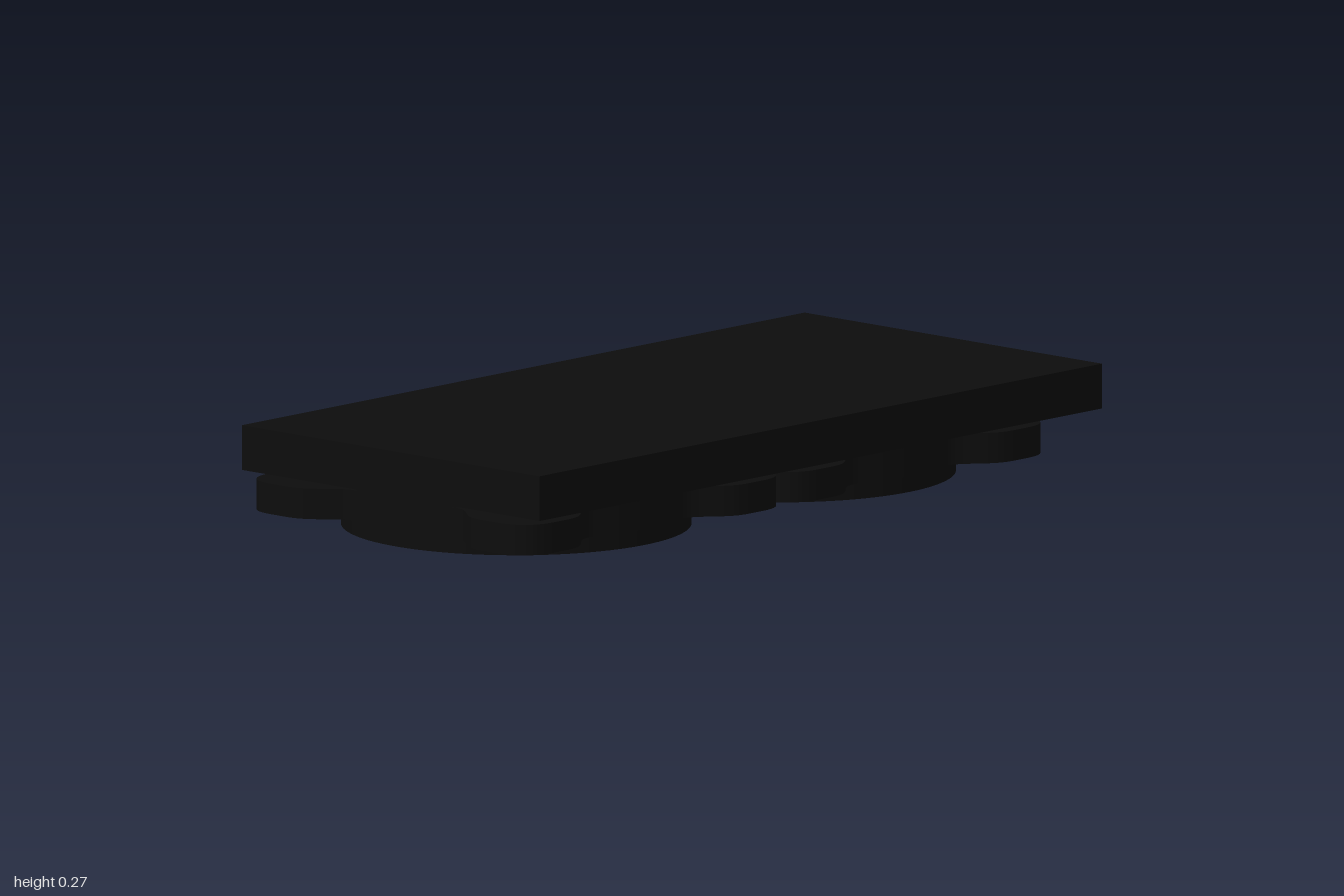
import * as THREE from 'three';

const mat = (name, color, extra = {}) => {
  const m = new THREE.MeshStandardMaterial({ color, ...extra });
  m.name = name;
  return m;
};

// Extrude an x/z outline between two heights
function slab(shape, y0, y1) {
  const g = new THREE.ExtrudeGeometry(shape, { depth: y1 - y0, bevelEnabled: false, curveSegments: 16 });
  g.rotateX(Math.PI / 2);
  g.translate(0, y1, 0);
  return g;
}

// Fan frame outline: four rounded corner lobes blending into a central circle
function frameShape() {
  const h = 0.469, r = 0.1, s = new THREE.Shape();
  for (let i = 0; i < 4; i++) {
    const a = i * Math.PI / 2, c = Math.cos(a), n = Math.sin(a);
    const p = (x, y) => [x * c - y * n, x * n + y * c];
    if (i === 0) s.moveTo(...p(0.424, 0));
    s.quadraticCurveTo(...p(0.424, 0.07), ...p(0.4, 0.14));
    s.bezierCurveTo(...p(0.37, 0.22), ...p(h, 0.23), ...p(h, 0.32));
    s.lineTo(...p(h, h - r));
    s.quadraticCurveTo(...p(h, h), ...p(h - r, h));
    s.lineTo(...p(0.32, h));
    s.bezierCurveTo(...p(0.23, h), ...p(0.22, 0.37), ...p(0.14, 0.4));
    s.quadraticCurveTo(...p(0.07, 0.424), ...p(0, 0.424));
  }
  return s;
}

// Flat ring sector facing down
function sector(r0, r1, y, from = 0, to = 360) {
  const d = Math.PI / 180;
  const segs = Math.max(6, Math.round((to - from) / 5));
  const g = new THREE.RingGeometry(r0, r1, segs, 1, from * d, (to - from) * d);
  g.rotateX(Math.PI / 2);
  g.translate(0, y, 0);
  return g;
}

export function createModel() {
  const black = mat('black', 0x0d0d0d);
  const grey = mat('darkGrey', 0x444446);
  const lilac = mat('paleLilac', 0xc8bccb);
  // Blade colours with their start and end angles
  const blades = [
    [mat('teal', 0x4edcbe), 18, 79],
    [mat('amber', 0xd8a632), 79, 125],
    [mat('rose', 0xd84b6e), 125, 154],
    [mat('magenta', 0xcd46d2), 154, 188],
    [mat('indigo', 0x4b2dbe), 188, 295],
    [mat('blue', 0x305fb9), 295, 337],
    [mat('skyBlue', 0x37a0d7), 337, 378],
  ];

  const model = new THREE.Group();
  const add = (parent, name, geometry, material) => {
    const m = new THREE.Mesh(geometry, material);
    m.name = name;
    parent.add(m);
    return m;
  };

  // Radiator block
  add(model, 'radiator', new THREE.BoxGeometry(0.98, 0.11, 2), black).position.y = 0.212;

  // Round shroud with an open centre
  const ring = new THREE.Shape().absarc(0, 0, 0.424, 0, Math.PI * 2);
  ring.holes.push(new THREE.Path().absarc(0, 0, 0.355, 0, Math.PI * 2, true));
  ring.curveSegments = 48;
  const shroudGeo = new THREE.ExtrudeGeometry(ring, { depth: 0.135, bevelEnabled: false, curveSegments: 48 });
  shroudGeo.rotateX(Math.PI / 2);
  shroudGeo.translate(0, 0.157, 0);
  const frameGeo = slab(frameShape(), 0.06, 0.135);
  const hubGeo = new THREE.CylinderGeometry(0.116, 0.116, 0.06, 48);

  // Two fans side by side underneath
  [0.53, -0.41].forEach((z, i) => {
    const fan = new THREE.Group();
    fan.name = i ? 'rearFan' : 'frontFan';
    fan.position.set(-0.022, 0, z);
    add(fan, 'frame', frameGeo, black);
    add(fan, 'shroud', shroudGeo, black);
    add(fan, 'rim', sector(0.355, 0.372, 0.0205), grey);
    add(fan, 'hub', hubGeo, grey).position.y = 0.03;
    add(fan, 'hubRing', sector(0.11, 0.225, 0.042), lilac);
    blades.forEach(([m, from, to]) => add(fan, m.name + 'Blade', sector(0.225, 0.356, 0.042, from, to), m));
    model.add(fan);
  });

  return model;
}
